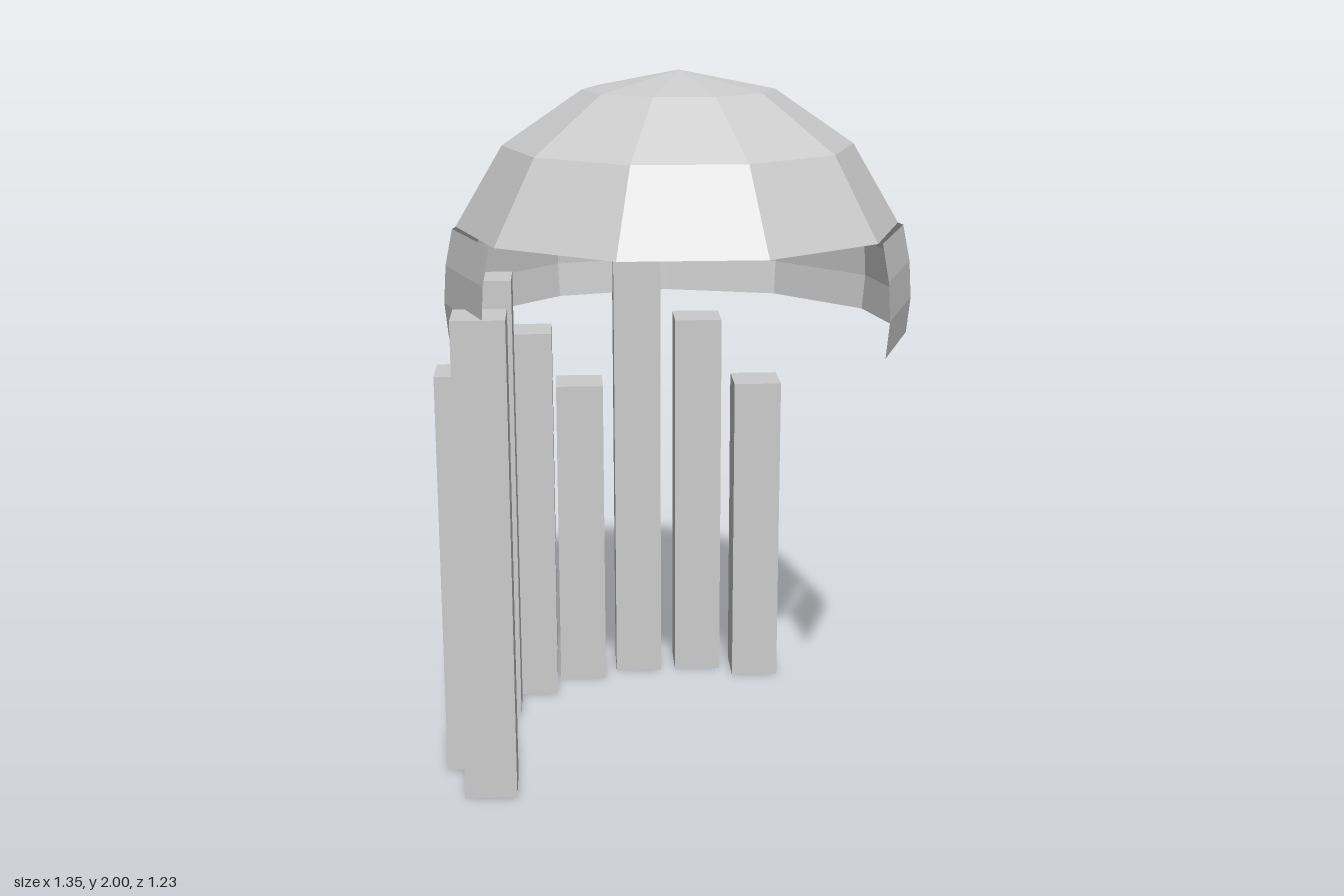
import * as THREE from 'three';

const CX = 0.0135, CZ = 0.035; // shared axis of the dome and band

function facetedShell(name, profile, sides, start, sweep) {
  const points = profile.map(([r, y]) => new THREE.Vector2(r, y));
  const material = new THREE.MeshStandardMaterial({
    color: 0xcccccc, flatShading: true, side: THREE.DoubleSide,
  });
  const mesh = new THREE.Mesh(new THREE.LatheGeometry(points, sides, start, sweep), material);
  mesh.name = name;
  mesh.position.set(CX, 0, CZ);
  mesh.scale.z = 0.973; // slightly flattened front to back
  return mesh;
}

export function createModel() {
  const model = new THREE.Group();
  model.name = 'domedHeadOnColumns';

  // Open ten-sided dome
  model.add(facetedShell('dome',
    [[0.625, 1.57], [0.491, 1.795], [0.268, 1.947], [0, 2]],
    10, Math.PI / 2, Math.PI * 2));

  // Thin band wrapping the back and sides, open at the front
  const sweep = THREE.MathUtils.degToRad(250);
  model.add(facetedShell('backBand',
    [[0.652, 1.26], [0.662, 1.362], [0.655, 1.468], [0.634, 1.57]],
    8, Math.PI - sweep / 2, sweep));

  // Arc of square columns from the front right round to the back left,
  // in three repeating heights
  const columns = new THREE.Group();
  columns.name = 'columns';
  const heights = [1.38, 1.185, 0.99];
  const material = new THREE.MeshStandardMaterial({ color: 0xcccccc, flatShading: true });
  for (let i = 0; i < 9; i++) {
    const h = heights[i % 3];
    const a = THREE.MathUtils.degToRad(27 - 18 * i);
    const column = new THREE.Mesh(new THREE.BoxGeometry(0.147, h, 0.149), material);
    column.name = `column${i + 1}`;
    column.position.set(0.0125 - 0.62 * Math.cos(a), h / 2, 0.058 + 0.606 * Math.sin(a));
    columns.add(column);
  }
  model.add(columns);
  return model;
}
